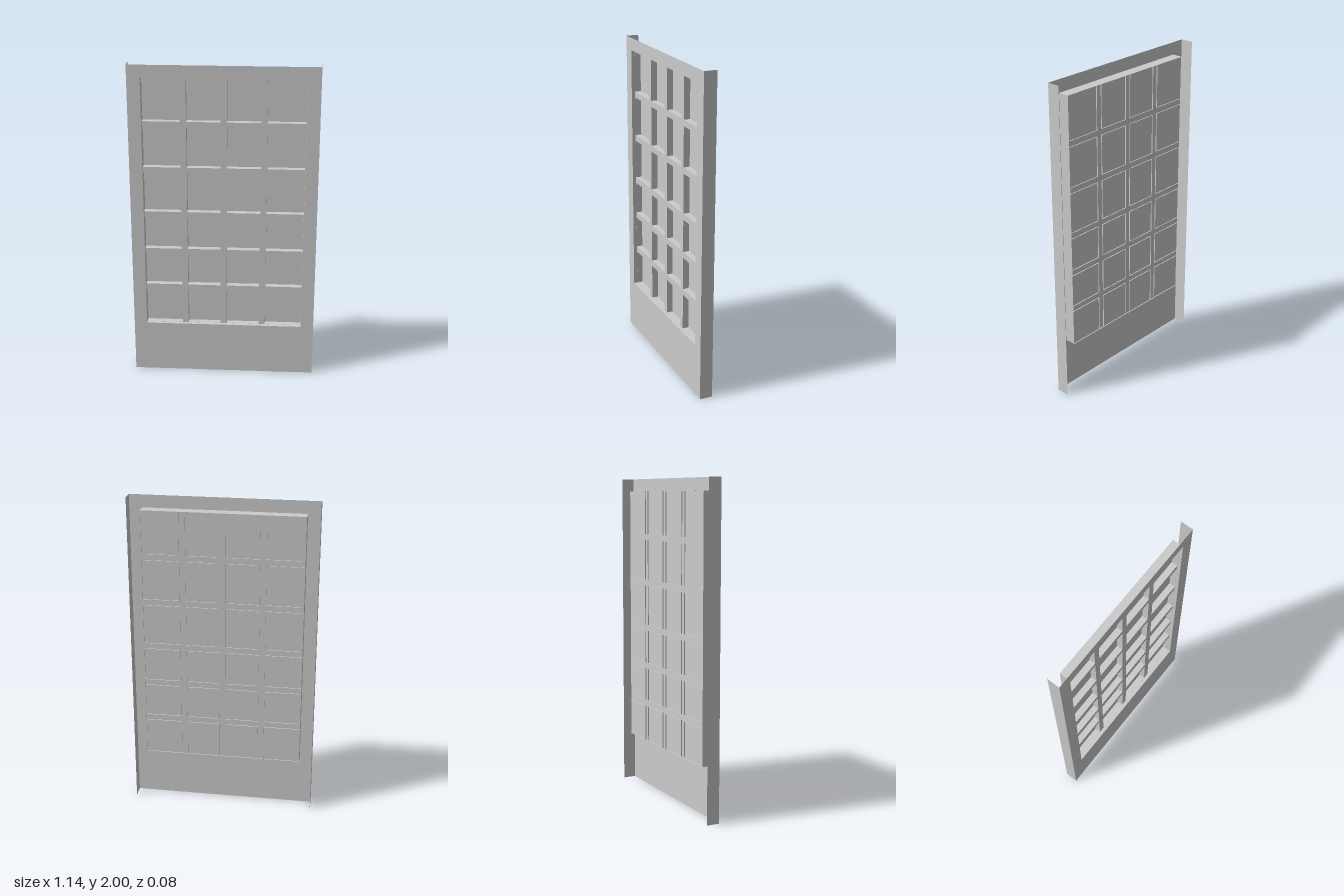
import * as THREE from 'three';
import { mergeGeometries } from 'three/addons/utils/BufferGeometryUtils.js';

const FRONT = 0.04, BACK = -0.04;      // sheet face and flange depth
const BAR_FRONT = 0.017, REAR = -0.028, PANE = -0.022;
const W = 0.57, H = 2;
const OPEN = { x0: -0.49, x1: 0.49, y0: 0.328, y1: 1.922 };
const HALF = 0.019;                    // half width of a glazing bar
const BAR_X = [-0.243, 0, 0.243];
const BAR_Y = [0.574, 0.818, 1.063, 1.35, 1.636];

const material = new THREE.MeshStandardMaterial({
  color: 0xcccccc, flatShading: true, side: THREE.DoubleSide,
});

function addMesh(parent, name, geometry) {
  const mesh = new THREE.Mesh(geometry, material);
  mesh.name = name;
  parent.add(mesh);
  return mesh;
}

// Counter-clockwise rectangle corners
const corners = (r) => [[r.x0, r.y0], [r.x1, r.y0], [r.x1, r.y1], [r.x0, r.y1]]
  .map(([x, y]) => new THREE.Vector2(x, y));

// Flat sheet with rectangular holes, facing +z
function sheet(rect, holes, z) {
  const shape = new THREE.Shape(corners(rect));
  for (const h of holes) shape.holes.push(new THREE.Path(corners(h).reverse()));
  return new THREE.ShapeGeometry(shape).translate(0, 0, z);
}

// Thin sheets running back from z0 to z1
function wallX(x, y0, y1, z0, z1) {
  return new THREE.PlaneGeometry(z0 - z1, y1 - y0).rotateY(Math.PI / 2)
    .translate(x, (y0 + y1) / 2, (z0 + z1) / 2);
}
function wallY(y, x0, x1, z0, z1) {
  return new THREE.PlaneGeometry(x1 - x0, z0 - z1).rotateX(-Math.PI / 2)
    .translate((x0 + x1) / 2, y, (z0 + z1) / 2);
}

// Clear spans between bars along one axis
function spans(start, end, bars) {
  const cuts = [start, ...bars.flatMap((b) => [b - HALF, b + HALF]), end];
  return Array.from({ length: bars.length + 1 }, (_, i) => [cuts[2 * i], cuts[2 * i + 1]]);
}

export function createModel() {
  const model = new THREE.Group();
  model.name = 'glazedDoorPanel';

  // Face sheet with the glazed opening, and its folded side flanges
  addMesh(model, 'faceSheet', sheet({ x0: -W, x1: W, y0: 0, y1: H }, [OPEN], FRONT));
  for (const [name, s] of [['leftFlange', 1], ['rightFlange', -1]]) {
    addMesh(model, name, wallX(s * W, 0, H, FRONT, BACK));
  }

  // Return walls around the opening
  addMesh(model, 'openingFrame', mergeGeometries([
    wallX(OPEN.x0, OPEN.y0, OPEN.y1, FRONT, REAR),
    wallX(OPEN.x1, OPEN.y0, OPEN.y1, FRONT, REAR),
    wallY(OPEN.y0, OPEN.x0, OPEN.x1, FRONT, REAR),
    wallY(OPEN.y1, OPEN.x0, OPEN.x1, FRONT, REAR),
  ]));

  // Glazing bars: one pierced front face, with walls around each cell
  const cells = [], walls = [];
  for (const [x0, x1] of spans(OPEN.x0, OPEN.x1, BAR_X)) {
    for (const [y0, y1] of spans(OPEN.y0, OPEN.y1, BAR_Y)) {
      // Edge cells overlap the frame line by a hair so the holes stay inside
      const e = 0.0005;
      cells.push({
        x0: Math.max(x0, OPEN.x0 + e), x1: Math.min(x1, OPEN.x1 - e),
        y0: Math.max(y0, OPEN.y0 + e), y1: Math.min(y1, OPEN.y1 - e),
      });
      for (const x of [x0, x1]) {
        if (x !== OPEN.x0 && x !== OPEN.x1) walls.push(wallX(x, y0, y1, BAR_FRONT, REAR));
      }
      for (const y of [y0, y1]) {
        if (y !== OPEN.y0 && y !== OPEN.y1) walls.push(wallY(y, x0, x1, BAR_FRONT, REAR));
      }
    }
  }
  addMesh(model, 'glazingBarFaces', sheet(OPEN, cells, BAR_FRONT));
  addMesh(model, 'glazingBarSides', mergeGeometries(walls));

  // Single pane behind the bars
  addMesh(model, 'pane', sheet(OPEN, [], PANE));

  return model;
}
